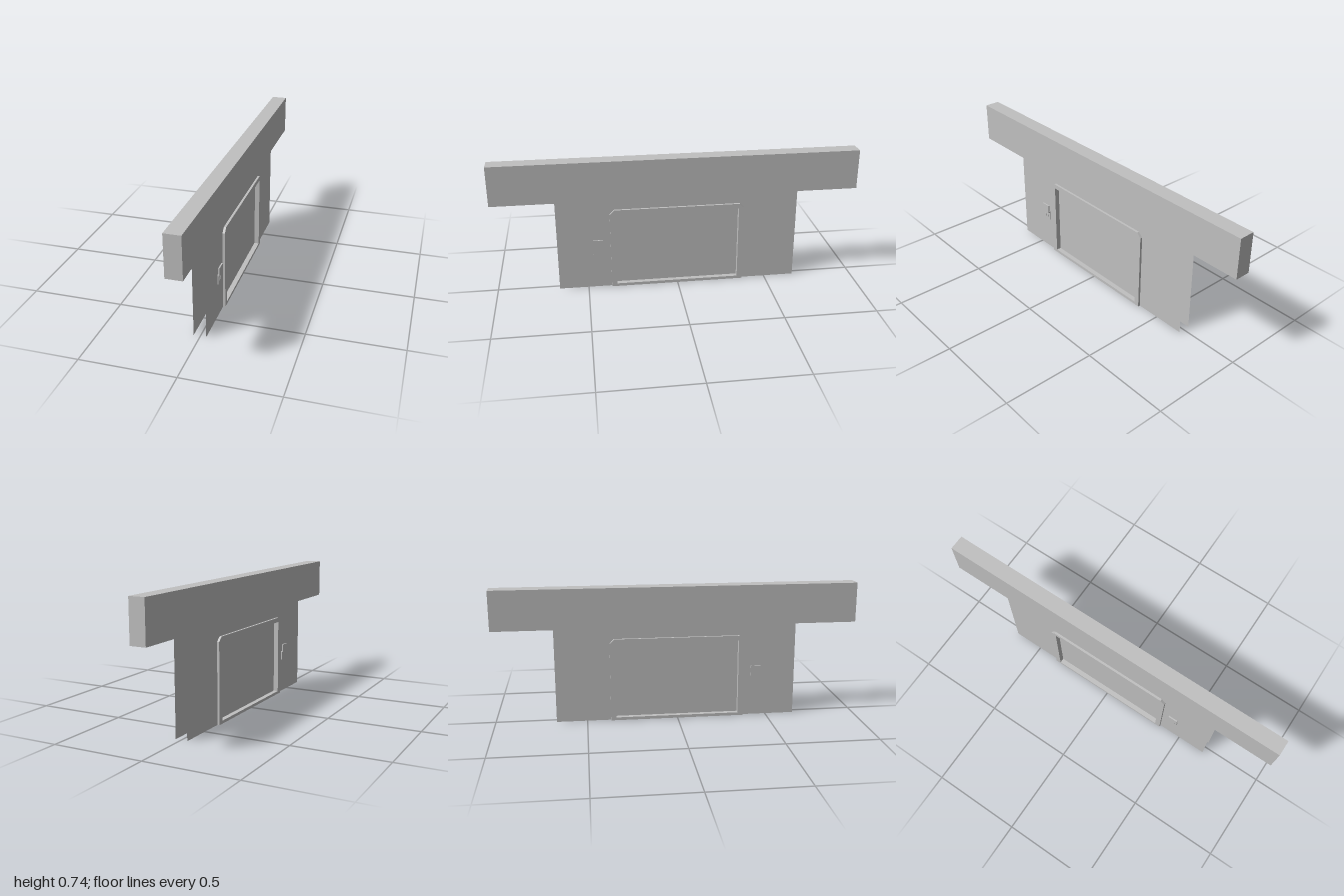
import * as THREE from 'three';

export function createModel() {
  const model = new THREE.Group();
  const grey = new THREE.MeshStandardMaterial({ color: 0xc0c0c0 });
  grey.name = 'plain grey';
  const greySheet = new THREE.MeshStandardMaterial({ color: 0xc0c0c0, side: THREE.DoubleSide });
  greySheet.name = 'plain grey sheet';
  const MID = -0.002; // middle of the wall thickness
  const HALF = 0.0455; // half depth of the door frame

  // Box given by its limits on each axis
  function box(name, x0, x1, y0, y1, z0, z1, parent = model) {
    const mesh = new THREE.Mesh(new THREE.BoxGeometry(Math.abs(x1 - x0), y1 - y0, z1 - z0), grey);
    mesh.position.set((x0 + x1) / 2, (y0 + y1) / 2, (z0 + z1) / 2);
    mesh.name = name;
    parent.add(mesh);
  }

  // Overhead beam
  box('beam', -0.039, 0.046, 0.52, 0.74, -1, 1);

  // Door frame: an arch with chamfered upper corners, open at the foot
  const arch = new THREE.Shape([
    [-0.37, 0], [-0.34, 0], [-0.34, 0.435], [0.34, 0.435], [0.34, 0], [0.37, 0],
    [0.37, 0.436], [0.345, 0.461], [-0.345, 0.461], [-0.37, 0.436],
  ].map(([u, v]) => new THREE.Vector2(u, v)));
  const archGeometry = new THREE.ExtrudeGeometry(arch, { depth: HALF * 2, bevelEnabled: false });
  archGeometry.rotateY(Math.PI / 2);
  const frame = new THREE.Mesh(archGeometry, grey);
  frame.position.x = MID - HALF;
  frame.name = 'doorFrame';
  model.add(frame);

  // Threshold with runners beneath it
  box('threshold', MID - HALF, MID + HALF, 0.009, 0.016, -0.34, 0.34);
  for (const x of [-0.0425, -0.018, 0.018, 0.0425]) {
    box('thresholdRunner', MID + x - 0.003, MID + x + 0.003, 0, 0.009, -0.34, 0.34);
  }

  // Recessed door panel
  box('door', MID - 0.0185, MID + 0.0185, 0.016, 0.435, -0.34, 0.34);

  // Thin wall sheet with the doorway cut out
  const wall = new THREE.Shape([
    [-0.66, 0], [-0.355, 0], [-0.355, 0.448], [0.355, 0.448], [0.355, 0],
    [0.668, 0], [0.668, 0.52], [-0.66, 0.52],
  ].map(([u, v]) => new THREE.Vector2(u, v)));
  const wallGeometry = new THREE.ShapeGeometry(wall);
  wallGeometry.rotateY(Math.PI / 2);

  // Wall sheet and call panel on each side
  for (const side of [1, -1]) {
    const sheet = new THREE.Mesh(wallGeometry, greySheet);
    sheet.position.x = MID + side * 0.033;
    sheet.name = 'wallSheet';
    model.add(sheet);

    const panel = new THREE.Group();
    panel.name = 'callPanel';
    model.add(panel);
    const at = (d) => MID + side * d;
    box('displayHood', at(0.038), at(HALF), 0.24, 0.287, 0.41, 0.465, panel);
    box('buttonPlate', at(0.029), at(0.038), 0.192, 0.245, 0.41, 0.465, panel);
    for (const z of [0.425, 0.44]) {
      box('button', at(0.038), at(0.0395), 0.208, 0.222, z, z + 0.01, panel);
    }
  }
  return model;
}
